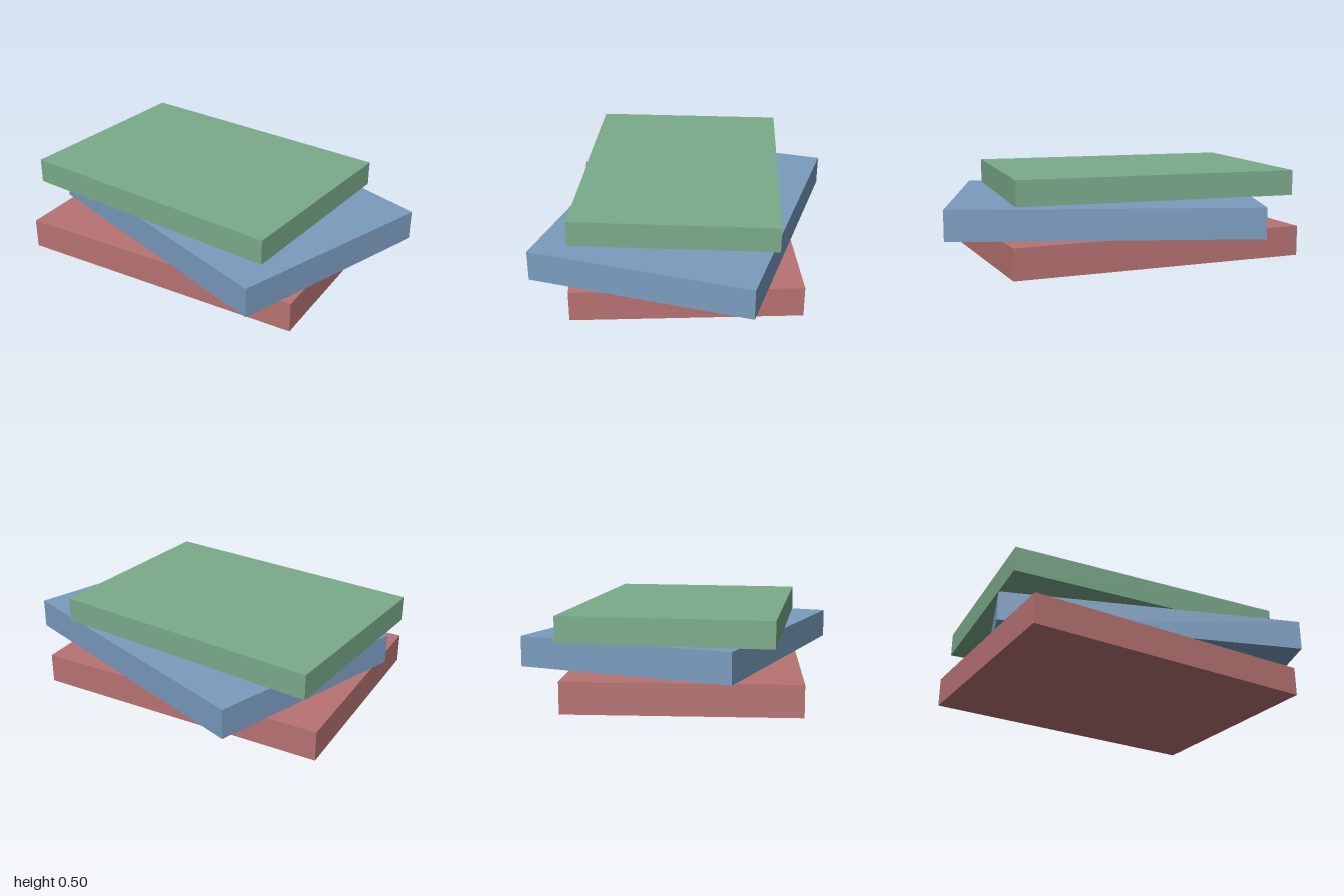
import * as THREE from 'three';

const paint = (name, color) => {
  const material = new THREE.MeshStandardMaterial({ color });
  material.name = name;
  return material;
};

export function createModel() {
  const group = new THREE.Group();
  group.name = 'slabStack';

  // Each slab: width, depth, bottom, top, centre x and z, turn about y
  const slabs = [
    { name: 'bottomSlab', mat: paint('dusty red', 0xb87373), w: 1.693, d: 1.244, y0: 0, y1: 0.17, x: -0.047, z: 0.008, turn: 0.2 },
    { name: 'middleSlab', mat: paint('dusty blue', 0x7a9cbf), w: 1.694, d: 1.239, y0: 0.17, y1: 0.339, x: 0.066, z: -0.049, turn: -0.15 },
    { name: 'topSlab', mat: paint('sage green', 0x7bab8b), w: 1.583, d: 1.128, y0: 0.356, y1: 0.497, x: -0.102, z: 0.009, turn: 0.1 },
  ];

  for (const s of slabs) {
    const mesh = new THREE.Mesh(new THREE.BoxGeometry(s.w, s.y1 - s.y0, s.d), s.mat);
    mesh.name = s.name;
    mesh.position.set(s.x, (s.y0 + s.y1) / 2, s.z);
    mesh.rotation.y = s.turn;
    group.add(mesh);
  }
  return group;
}
